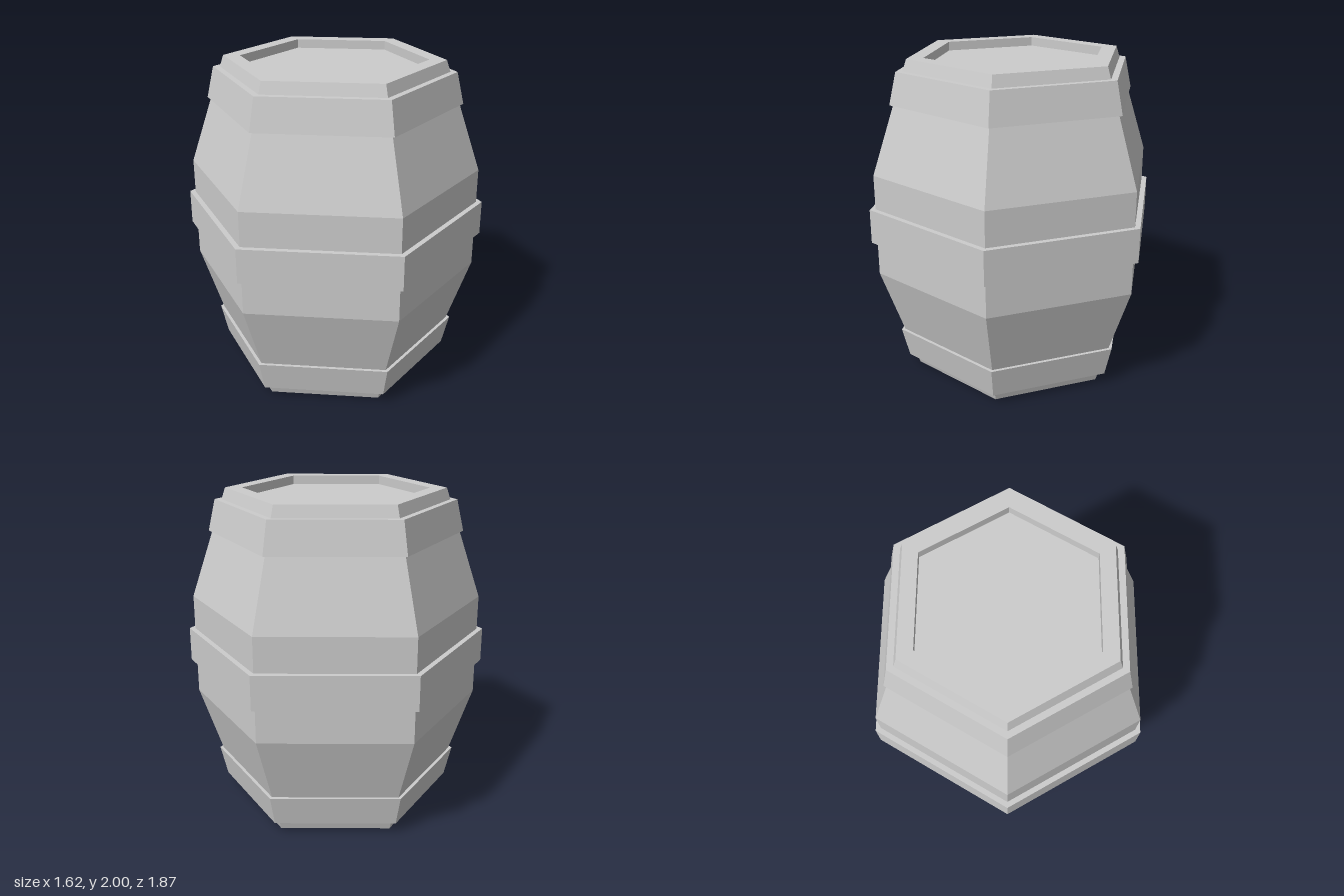
import * as THREE from 'three';

const SIDES = 6;

// Six-sided solid of revolution from [radius, y] points listed bottom to top, corners on the z axis
function hexLathe(name, profile, material) {
  const points = profile.map(([r, y]) => new THREE.Vector2(r, y));
  const geometry = new THREE.LatheGeometry(points, SIDES).toNonIndexed();
  geometry.computeVertexNormals();
  const mesh = new THREE.Mesh(geometry, material);
  mesh.name = name;
  return mesh;
}

// Hoop wrapped round the staves: outer radius and the body radius it meets, at both edges
function hoop(name, y0, y1, outer0, outer1, inner0, inner1, material) {
  return hexLathe(name, [
    [inner0, y0], [outer0, y0], [outer1, y1], [inner1, y1], [inner0, y0],
  ], material);
}

export function createModel() {
  const group = new THREE.Group();
  group.name = 'barrel';
  const material = new THREE.MeshStandardMaterial({ color: 0xcccccc, flatShading: true });

  // Staves with a recessed lid at each end
  const recess = 0.055, rim = 0.565, end = 0.667, belly = 0.897;
  group.add(hexLathe('body', [
    [0, recess], [rim, recess], [rim, 0], [end, 0],
    [belly, 0.68], [belly, 1.32],
    [end, 2], [rim, 2], [rim, 2 - recess], [0, 2 - recess],
  ], material));

  // Hoops
  group.add(hoop('bottomHoop', 0.07, 0.262, 0.733, 0.778, 0.685, 0.75, material));
  group.add(hoop('middleHoop', 0.893, 1.107, 0.933, 0.933, 0.89, 0.89, material));
  group.add(hoop('topHoop', 1.738, 1.93, 0.778, 0.733, 0.75, 0.685, material));

  return group;
}
